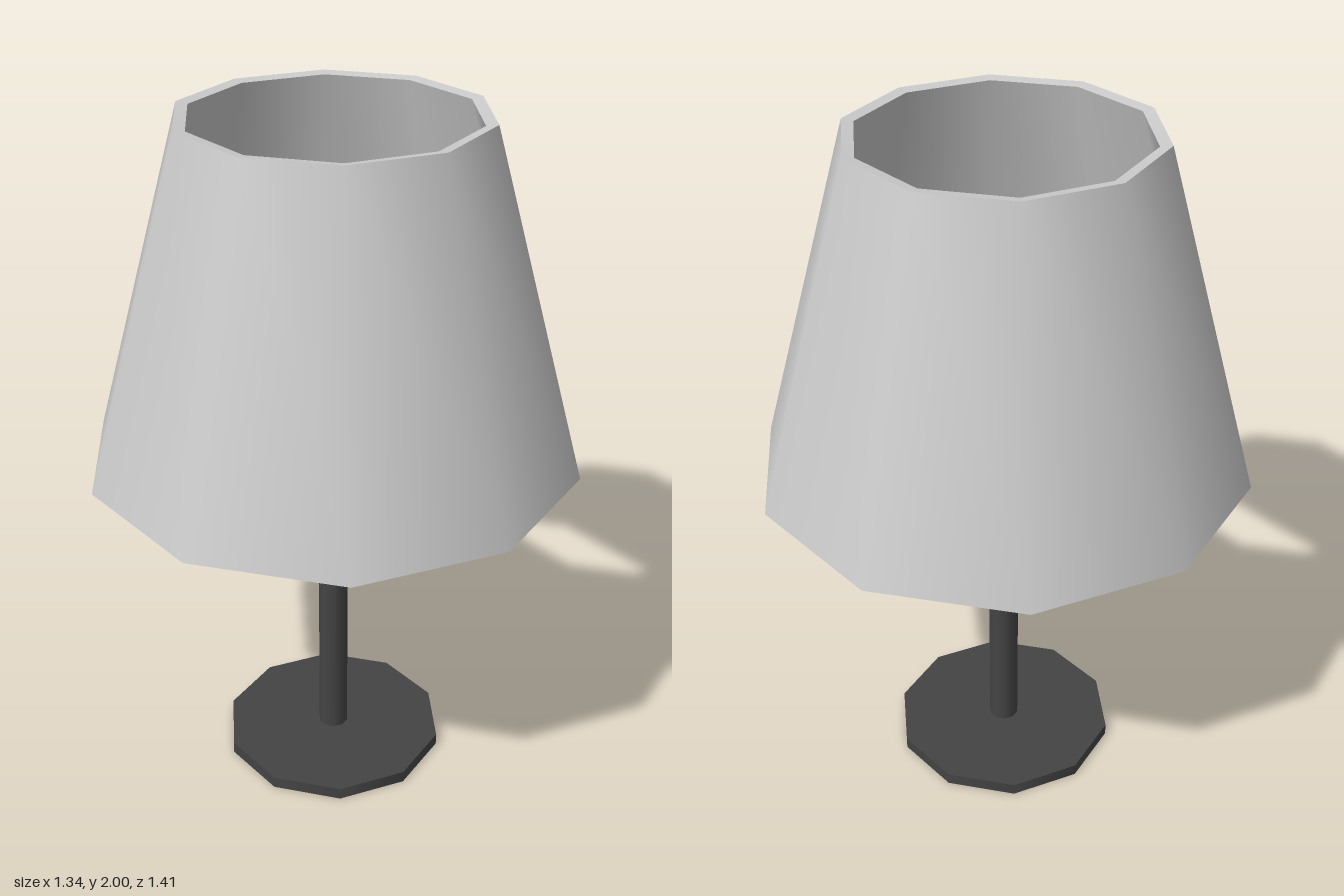
import * as THREE from 'three';
import { mergeGeometries } from 'three/addons/utils/BufferGeometryUtils.js';

const SIDES = 10;
const grey = new THREE.MeshStandardMaterial({ color: 0xcccccc });
const dark = new THREE.MeshStandardMaterial({ color: 0x444444 });

// Ten-sided turned part; each profile [radius, height] is smooth, edges between profiles stay sharp
function turned(name, material, ...profiles) {
  const pieces = profiles.map((profile) =>
    new THREE.LatheGeometry(profile.map(([r, y]) => new THREE.Vector2(r, y)), SIDES));
  const mesh = new THREE.Mesh(mergeGeometries(pieces), material);
  mesh.name = name;
  return mesh;
}

export function createModel() {
  const lamp = new THREE.Group();
  lamp.name = 'tableLamp';

  // Flat foot: underside, edge, top
  lamp.add(turned('base', dark,
    [[0, 0], [0.335, 0]],
    [[0.335, 0], [0.335, 0.037]],
    [[0.335, 0.037], [0, 0.037]]));

  // Pole with a closed top
  lamp.add(turned('pole', dark,
    [[0.045, 0.03], [0.045, 1.18]],
    [[0.045, 1.18], [0, 1.18]]));

  // Bulb: narrow neck flaring into a rounded dome
  lamp.add(turned('bulb', grey,
    [[0.04, 1.17], [0.044, 1.21], [0.07, 1.26], [0.1, 1.3], [0.105, 1.36],
      [0.095, 1.41], [0.07, 1.45], [0.035, 1.475], [0, 1.48]]));

  // Hollow shade: outer wall, top rim, inner wall, bottom rim
  lamp.add(turned('shade', grey,
    [[0.705, 1.025], [0.425, 2]],
    [[0.425, 2], [0.392, 1.995]],
    [[0.392, 1.995], [0.672, 1.017]],
    [[0.672, 1.017], [0.705, 1.025]]));

  return lamp;
}
